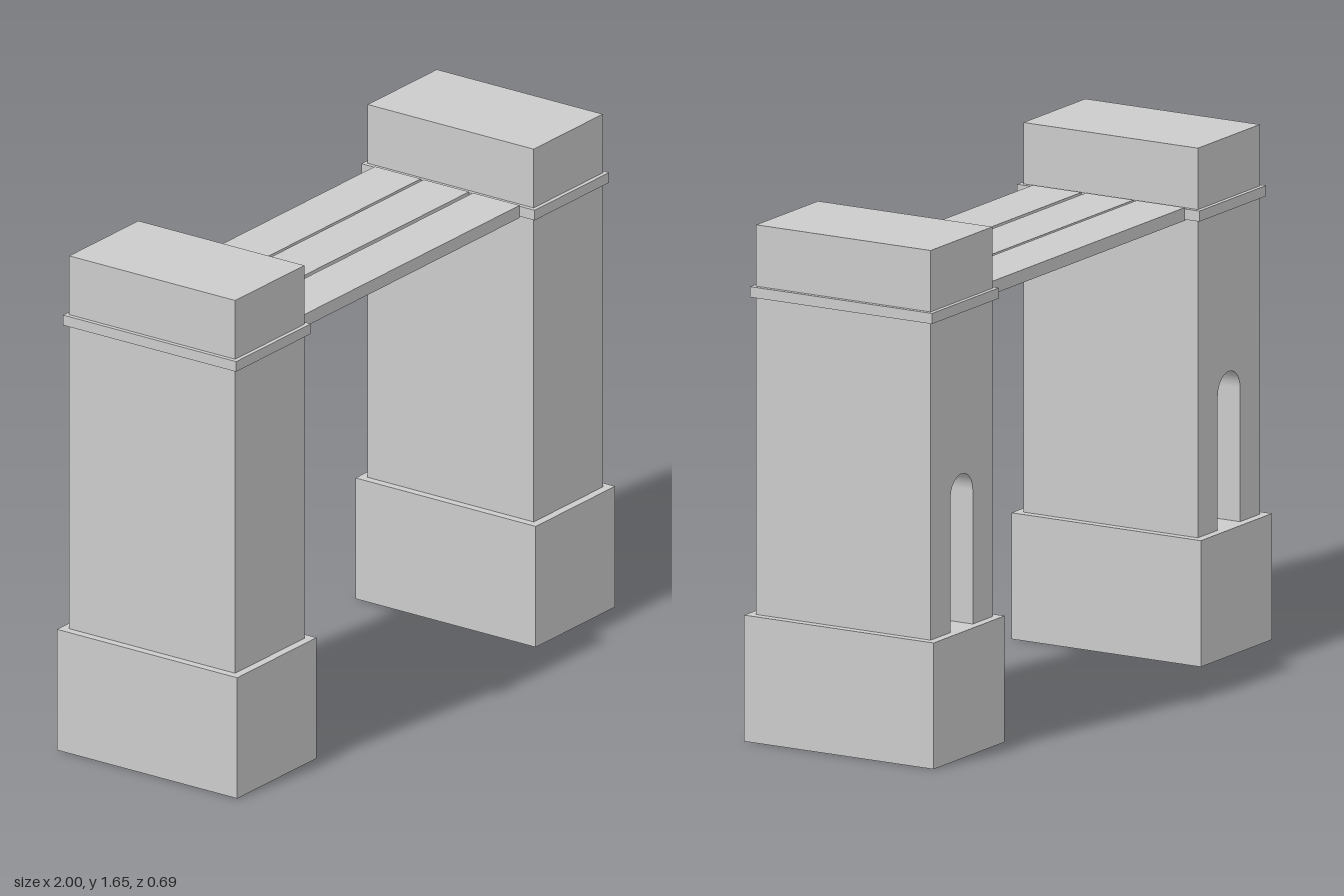
import * as THREE from 'three';

const material = new THREE.MeshStandardMaterial({ color: 0xcccccc, flatShading: true });

function add(parent, name, geometry, x, y, z) {
  const mesh = new THREE.Mesh(geometry, material);
  mesh.name = name;
  mesh.position.set(x, y, z);
  parent.add(mesh);
  return mesh;
}

// Box given by its centre in x and z and its bottom and top heights
function block(parent, name, w, d, bottom, top, x = 0, z = 0) {
  return add(parent, name, new THREE.BoxGeometry(w, top - bottom, d), x, (bottom + top) / 2, z);
}

const BASE_TOP = 0.405, TOP = 1.655;
const SHAFT_W = 0.366, SHAFT_D = 0.64, NICHE_DEPTH = 0.127;

// Rear layer of a tower: a slab whose outline steps around the arched niche
function nicheSlab() {
  const h = TOP - BASE_TOP, w = SHAFT_W / 2, r = 0.066, spring = 0.43;
  const s = new THREE.Shape();
  s.moveTo(-w, 0);
  s.lineTo(-r, 0);
  s.lineTo(-r, spring);
  s.absarc(0, spring, r, Math.PI, 0, true);
  s.lineTo(r, 0);
  s.lineTo(w, 0);
  s.lineTo(w, h);
  s.lineTo(-w, h);
  return new THREE.ExtrudeGeometry(s, { depth: NICHE_DEPTH, bevelEnabled: false, curveSegments: 16 });
}

function tower(name) {
  const g = new THREE.Group();
  g.name = name;
  block(g, 'base', 0.42, 0.695, 0, BASE_TOP);
  block(g, 'shaft', SHAFT_W, SHAFT_D - NICHE_DEPTH, BASE_TOP, TOP, 0, NICHE_DEPTH / 2);
  add(g, 'nicheWall', nicheSlab(), 0, BASE_TOP, -SHAFT_D / 2);
  block(g, 'band', 0.395, 0.668, 1.424, 1.458);
  return g;
}

export function createModel() {
  const model = new THREE.Group();
  model.name = 'bridgeGate';

  // Two matching towers, both with the niche facing the back
  for (const [name, side] of [['leftTower', 1], ['rightTower', -1]]) {
    const t = tower(name);
    t.position.x = side * 0.79;
    model.add(t);
  }

  // Three planks spanning the towers, [back edge, front edge]
  const planks = [[-0.28, -0.103], [-0.092, 0.083], [0.099, 0.278]];
  planks.forEach(([a, b], i) => {
    block(model, 'plank' + (i + 1), 1.185, b - a, 1.42, 1.462, -0.002, (a + b) / 2);
  });
  return model;
}
